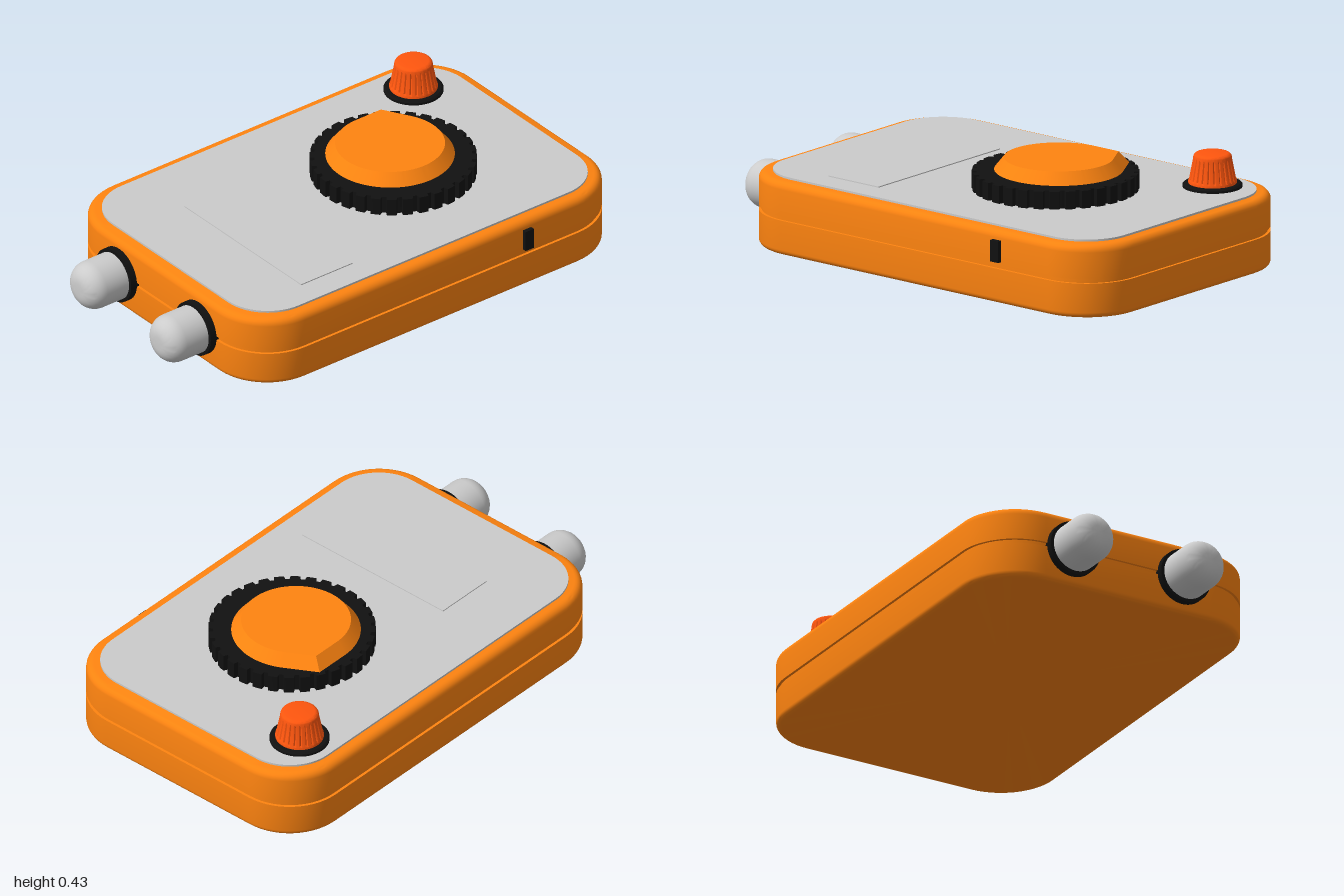
import * as THREE from 'three';
import { toCreasedNormals } from 'three/addons/utils/BufferGeometryUtils.js';

const paint = (color) => new THREE.MeshStandardMaterial({ color });
const orange = paint(0xff8410), black = paint(0x111111), red = paint(0xff560e), grey = paint(0xcccccc);

function add(parent, name, geometry, material, x = 0, y = 0, z = 0, crease = 0.6) {
  const mesh = new THREE.Mesh(toCreasedNormals(geometry, crease), material);
  mesh.name = name;
  mesh.position.set(x, y, z);
  parent.add(mesh);
  return mesh;
}

// Rounded rectangle slab: profile is a list of [inset, height] from bottom to top
function slab(width, depth, radius, profile) {
  const steps = 14, n = 4 * (steps + 1), pos = [], index = [];
  for (const [inset, y] of profile) {
    for (let c = 0; c < 4; c++) {
      const sx = c === 0 || c === 3 ? 1 : -1, sz = c < 2 ? 1 : -1;
      for (let s = 0; s <= steps; s++) {
        const a = (c + s / steps) * Math.PI / 2;
        pos.push(sx * (width / 2 - radius) + (radius - inset) * Math.cos(a), y,
          sz * (depth / 2 - radius) + (radius - inset) * Math.sin(a));
      }
    }
  }
  const rows = profile.length, bottom = rows * n, top = bottom + 1;
  pos.push(0, profile[0][1], 0, 0, profile[rows - 1][1], 0);
  for (let j = 0; j < n; j++) {
    const k = (j + 1) % n, last = (rows - 1) * n;
    for (let i = 0; i < rows - 1; i++) {
      const a = i * n + j, b = i * n + k;
      index.push(a, a + n, b, b, a + n, b + n);
    }
    index.push(bottom, j, k, top, last + k, last + j);
  }
  const g = new THREE.BufferGeometry();
  g.setAttribute('position', new THREE.Float32BufferAttribute(pos, 3));
  g.setIndex(index);
  return g;
}

// Quarter-round profile points between two angles
function arc(cx, cy, r, from, to, steps = 6) {
  return Array.from({ length: steps + 1 }, (_, i) => {
    const a = from + (to - from) * i / steps;
    return [cx + r * Math.cos(a), cy + r * Math.sin(a)];
  });
}

const lathe = (points, segments = 48) =>
  new THREE.LatheGeometry(points.map(([x, y]) => new THREE.Vector2(x, y)), segments);

// Gear-like ring outline for the knurled dial
function knurl(outer, inner, teeth) {
  const shape = new THREE.Shape(), step = Math.PI * 2 / teeth;
  for (let i = 0; i < teeth; i++) {
    [[0, inner], [0.14, inner], [0.2, outer], [0.5, outer], [0.8, outer], [0.86, inner]].forEach(([t, r], k) => {
      const a = (i + t) * step;
      shape[i || k ? 'lineTo' : 'moveTo'](r * Math.cos(a), r * Math.sin(a));
    });
  }
  return shape;
}

export function createModel() {
  const model = new THREE.Group();
  model.name = 'controlBox';
  const H = Math.PI / 2, cx = 0.1, cz = -0.01;

  // Housing with rounded rims and a seam groove around the sides
  const rim = (r, y, from, to) => arc(0, y, r, from, to, 5).map(([x, h]) => [r - x, h]);
  add(model, 'housing', slab(1.8, 1.195, 0.235, [
    ...rim(0.022, 0.022, -H, 0),
    [0, 0.138], [0.011, 0.138], [0.011, 0.155], [0, 0.155],
    ...rim(0.03, 0.26, 0, H),
  ]), orange, cx, 0, cz);

  // Face plate and its slightly raised label panel
  add(model, 'facePlate', slab(1.695, 1.095, 0.19, [[0, 0.28], [0, 0.298]]), grey, cx, 0, cz);
  add(model, 'labelPanel', new THREE.BoxGeometry(0.25, 0.008, 0.72), grey, -0.335, 0.298, 0.07);

  // Main dial
  const dial = new THREE.Group();
  dial.name = 'dial';
  dial.position.set(0.32, 0, 0.01 + cz);
  dial.position.z = 0.01;
  model.add(dial);
  add(dial, 'dialSpindle', new THREE.CylinderGeometry(0.18, 0.18, 0.03, 48), black, 0, 0.3, 0);
  const ring = new THREE.ExtrudeGeometry(knurl(0.32, 0.302, 32), { depth: 0.07, bevelEnabled: false });
  add(dial, 'dialGrip', ring.rotateX(-H), black, 0, 0.304, 0, 0.3);

  // Teardrop cap: a tapered disc whose rim is drawn out to a pointer
  const cap = new THREE.CylinderGeometry(0.21, 0.25, 0.05, 144, 1);
  const half = THREE.MathUtils.degToRad(30), p = cap.attributes.position;
  for (let i = 0; i < p.count; i++) {
    const x = p.getX(i), z = p.getZ(i);
    const off = Math.abs(Math.atan2(x, -z) - half);
    const k = off < half ? 1 / Math.cos(half - off) : 1;
    p.setXYZ(i, x * k, p.getY(i), z * k);
  }
  add(dial, 'dialCap', cap, orange, 0, 0.396, -0.02);
  dial.position.z = 0.01;

  // Small fluted knob on a collar
  const knob = new THREE.Group();
  knob.name = 'smallKnob';
  knob.position.set(0.75, 0, -0.41);
  model.add(knob);
  add(knob, 'knobCollar', lathe([[0, 0.29], [0.115, 0.29], [0.115, 0.307], [0.108, 0.313], [0, 0.313]]), black);
  const body = lathe([[0, 0.305], [0.093, 0.305], [0.093, 0.322], [0.09, 0.328], [0.075, 0.405],
    ...arc(0.058, 0.414, 0.016, 0, H, 5), [0, 0.43]], 120);
  const q = body.attributes.position;
  for (let i = 0; i < q.count; i++) {
    const x = q.getX(i), y = q.getY(i), z = q.getZ(i);
    const flute = Math.round((Math.atan2(x, z) / (Math.PI * 2) + 1) * 120) % 5 === 0;
    const k = flute && y > 0.325 && y < 0.41 ? 0.95 : 1;
    q.setXYZ(i, x * k, y, z * k);
  }
  add(knob, 'knobBody', body, red);

  // Two domed connectors with collars on the right side
  for (const z of [-0.26, 0.23]) {
    const connector = new THREE.Group();
    connector.name = 'connector';
    connector.position.set(0, 0.146, z);
    model.add(connector);
    add(connector, 'connectorCollar',
      lathe([[0, 0.77], [0.109, 0.77], [0.109, 0.828], [0, 0.828]]).rotateZ(H), black);
    add(connector, 'connectorCap',
      lathe([[0, 0.8], [0.096, 0.8], ...arc(0.026, 0.93, 0.07, 0, H, 8), [0, 1]]).rotateZ(H), grey);
  }

  // Slim button on the front edge
  add(model, 'frontButton', new THREE.BoxGeometry(0.04, 0.085, 0.05), black, 0.514, 0.21, 0.58);
  return model;
}
